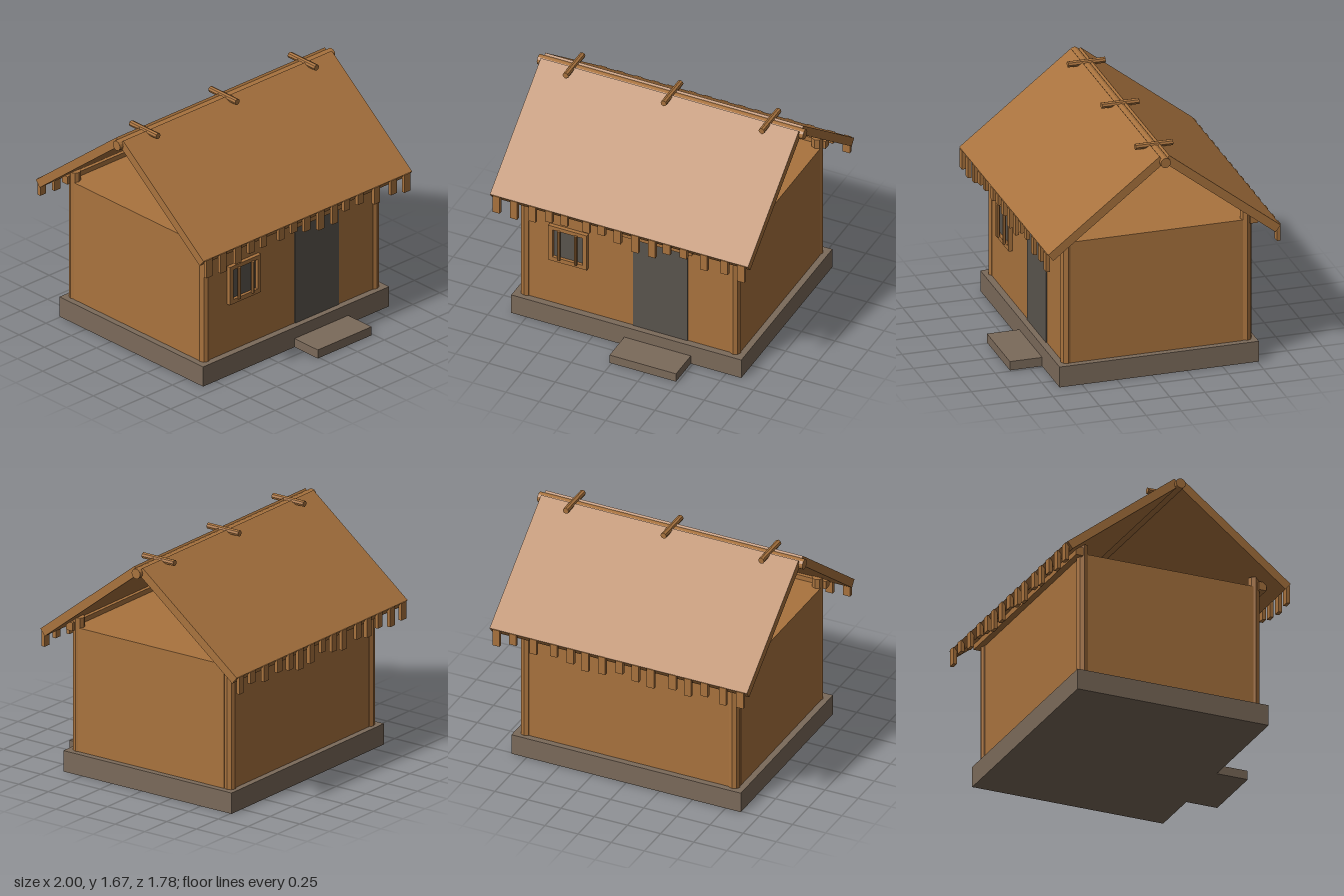
import * as THREE from 'three';

export function createModel() {
  const hut = new THREE.Group();
  hut.name = 'hut';
  const material = (name, color) => {
    const m = new THREE.MeshStandardMaterial({ color });
    m.name = name;
    return m;
  };
  const wood = material('wood', 0xa9733e);
  const stone = material('stone', 0x7b6a5a);
  const dark = material('dark opening', 0x5a554e);
  const midZ = -0.053; // centre line of the house

  const add = (name, geometry, mat, x, y, z) => {
    const mesh = new THREE.Mesh(geometry, mat);
    mesh.name = name;
    mesh.position.set(x, y, z);
    hut.add(mesh);
    return mesh;
  };
  // Box from its lower and upper corners
  const box = (name, mat, [x0, y0, z0], [x1, y1, z1]) =>
    add(name, new THREE.BoxGeometry(x1 - x0, y1 - y0, z1 - z0), mat,
      (x0 + x1) / 2, (y0 + y1) / 2, (z0 + z1) / 2);
  // Faceted pole, upright until rotated
  const pole = (name, r, length, sides, x, y, z) => {
    const g = new THREE.CylinderGeometry(r, r, length, sides).toNonIndexed();
    g.computeVertexNormals();
    return add(name, g, wood, x, y, z);
  };

  // Foundation and door step
  box('foundation', stone, [-0.865, 0, -0.76], [0.865, 0.15, 0.66]);
  box('doorStep', stone, [-0.015, 0, 0.66], [0.485, 0.065, 0.89]);

  // House body: side walls reach past the front and back walls
  box('houseBody', wood, [-0.82, 0.15, -0.662], [0.82, 1.04, 0.568]);
  box('frontWall', wood, [-0.775, 0.15, 0.568], [0.775, 1.04, 0.612]);
  box('backWall', wood, [-0.775, 0.15, -0.716], [0.775, 1.04, -0.662]);

  // Corner posts and the plates that carry the roof
  for (const side of [-1, 1]) {
    for (const end of [-1, 1]) {
      pole('cornerPost', 0.041, 1.01, 8, side * 0.785, 0.605, midZ + end * 0.638);
    }
    const z = midZ + side * 0.681;
    box('wallPlate', wood, [-0.84, 1.015, z - 0.027], [0.84, 1.075, z + 0.027]);
  }

  // Door and lintel
  box('doorway', dark, [0.03, 0.15, 0.611], [0.44, 0.91, 0.618]);
  box('doorLintel', wood, [-0.025, 0.905, 0.61], [0.495, 0.975, 0.665]);

  // Window frame, pane and bars
  const frame = new THREE.Shape();
  frame.moveTo(-0.597, 0.517).lineTo(-0.307, 0.517).lineTo(-0.307, 0.805).lineTo(-0.597, 0.805);
  frame.closePath();
  const hole = new THREE.Path();
  hole.moveTo(-0.565, 0.55).lineTo(-0.565, 0.775).lineTo(-0.337, 0.775).lineTo(-0.337, 0.55);
  hole.closePath();
  frame.holes.push(hole);
  add('windowFrame', new THREE.ExtrudeGeometry(frame, { depth: 0.035, bevelEnabled: false }),
    wood, 0, 0, 0.605);
  box('windowPane', dark, [-0.57, 0.545, 0.611], [-0.33, 0.78, 0.618]);
  for (const x of [-0.515, -0.388]) pole('windowBar', 0.012, 0.24, 8, x, 0.662, 0.645);

  // Roof slopes and the hanging fringe along each eave
  const fringe = {
    '1': [0.9, 0.89, 0.91, 0.945, 0.95, 0.945, 0.96, 0.93, 0.895, 0.895, 0.955, 0.96, 0.91, 0.925, 0.9],
    '-1': [0.91, 0.9, 0.93, 0.9, 0.92, 0.89, 0.91, 0.94, 0.9, 0.89, 0.92, 0.94, 0.92, 0.95, 0.91],
  };
  const nudge = [0, 0, 0.007, 0.001, -0.016, 0.018, 0.001, -0.01, -0.009, -0.013, -0.034, -0.04, -0.017, 0.006, 0];
  for (const end of [-1, 1]) {
    const slope = add('roofSlope', new THREE.BoxGeometry(1.94, 0.06, 1.008), wood,
      0, 1.321, midZ + end * 0.413);
    slope.rotation.x = end * 0.663;
    fringe[end].forEach((bottom, i) => {
      const x = -0.92 + i * 0.1314 + nudge[i];
      const z = midZ + end * 0.822;
      box('eaveFringe', wood, [x - 0.027, bottom, z - 0.013], [x + 0.027, 1.035, z + 0.013]);
    });
  }

  // Ridge pole with short cross sticks
  pole('ridgePole', 0.036, 2, 12, 0, 1.615, midZ).rotation.z = Math.PI / 2;
  for (const x of [-0.737, 0, 0.737]) {
    pole('ridgeStick', 0.022, 0.265, 8, x, 1.645, midZ).rotation.x = Math.PI / 2;
  }
  return hut;
}
